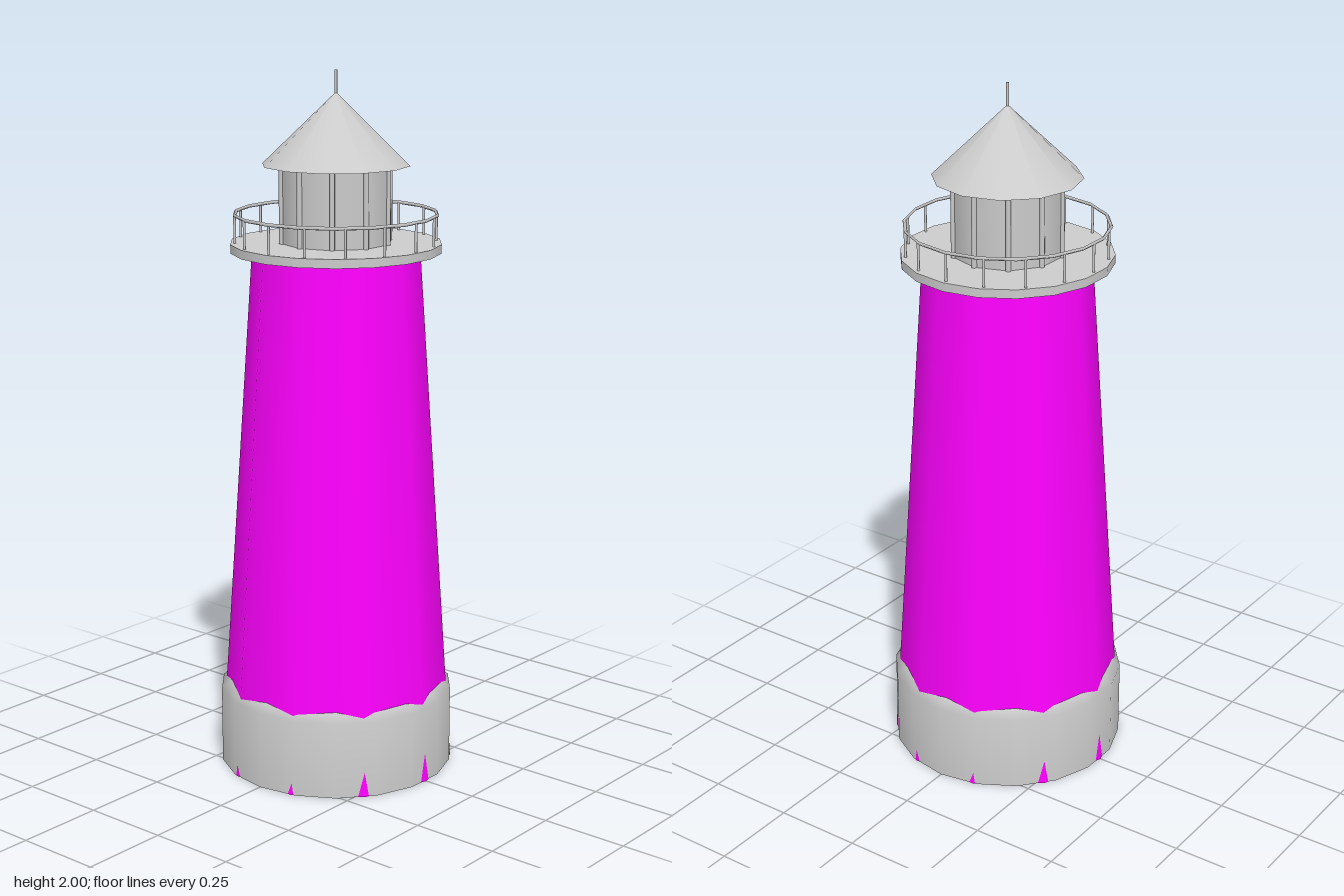
import * as THREE from 'three';

const grey = new THREE.MeshStandardMaterial({ color: 0xcccccc });
const greyOpen = new THREE.MeshStandardMaterial({ color: 0xcccccc, side: THREE.DoubleSide });
const magenta = new THREE.MeshStandardMaterial({ color: 0xff00ff });

export function createModel() {
  const model = new THREE.Group();

  function add(name, geometry, material = grey, parent = model) {
    const mesh = new THREE.Mesh(geometry, material);
    mesh.name = name;
    parent.add(mesh);
    return mesh;
  }

  // Upright cylinder or cone between two heights; turn sets where the first corner lies
  function column(name, rTop, rBottom, y0, y1, sides, turn = 0, material = grey, parent = model) {
    const geometry = new THREE.CylinderGeometry(rTop, rBottom, y1 - y0, sides, 1, false, turn);
    geometry.translate(0, (y0 + y1) / 2, 0);
    return add(name, geometry, material, parent);
  }

  // Evenly spaced thin uprights on a circle, starting on the x axis
  function uprights(name, count, radius, thickness, y0, y1) {
    const group = new THREE.Group();
    group.name = name + 's';
    for (let i = 0; i < count; i++) {
      const a = (i / count) * Math.PI * 2;
      const post = column(name, thickness, thickness, y0, y1, 6, 0, grey, group);
      post.position.set(Math.cos(a) * radius, 0, Math.sin(a) * radius);
    }
    model.add(group);
  }

  const quarter = Math.PI / 2;

  // Tapered ten-sided tower, running down through the plinth
  column('tower', 0.236, 0.3375, 0, 1.5, 10, 0, magenta);

  // Plinth collar with a softened top edge, open below
  const collar = [[0.337, 0], [0.337, 0.222], [0.3, 0.25]].map(([r, y]) => new THREE.Vector2(r, y));
  const plinth = new THREE.LatheGeometry(collar, 18);
  plinth.rotateY(quarter);
  add('plinth', plinth, greyOpen);

  // Gallery deck with railing
  column('galleryDeck', 0.297, 0.297, 1.5, 1.525, 18, quarter);
  const rail = new THREE.TorusGeometry(0.284, 0.005, 4, 18);
  rail.rotateX(quarter);
  rail.translate(0, 1.605, 0);
  add('handrail', rail);
  uprights('railPost', 16, 0.282, 0.004, 1.52, 1.605);

  // Lantern room with slim glazing bars at its corners
  column('lanternRoom', 0.155, 0.155, 1.52, 1.742, 10, quarter);
  uprights('glazingBar', 10, 0.155, 0.008, 1.52, 1.742);

  // Conical roof and finial
  column('roof', 0, 0.208, 1.74, 1.94, 12);
  column('finial', 0.004, 0.004, 1.92, 2, 6);

  return model;
}
